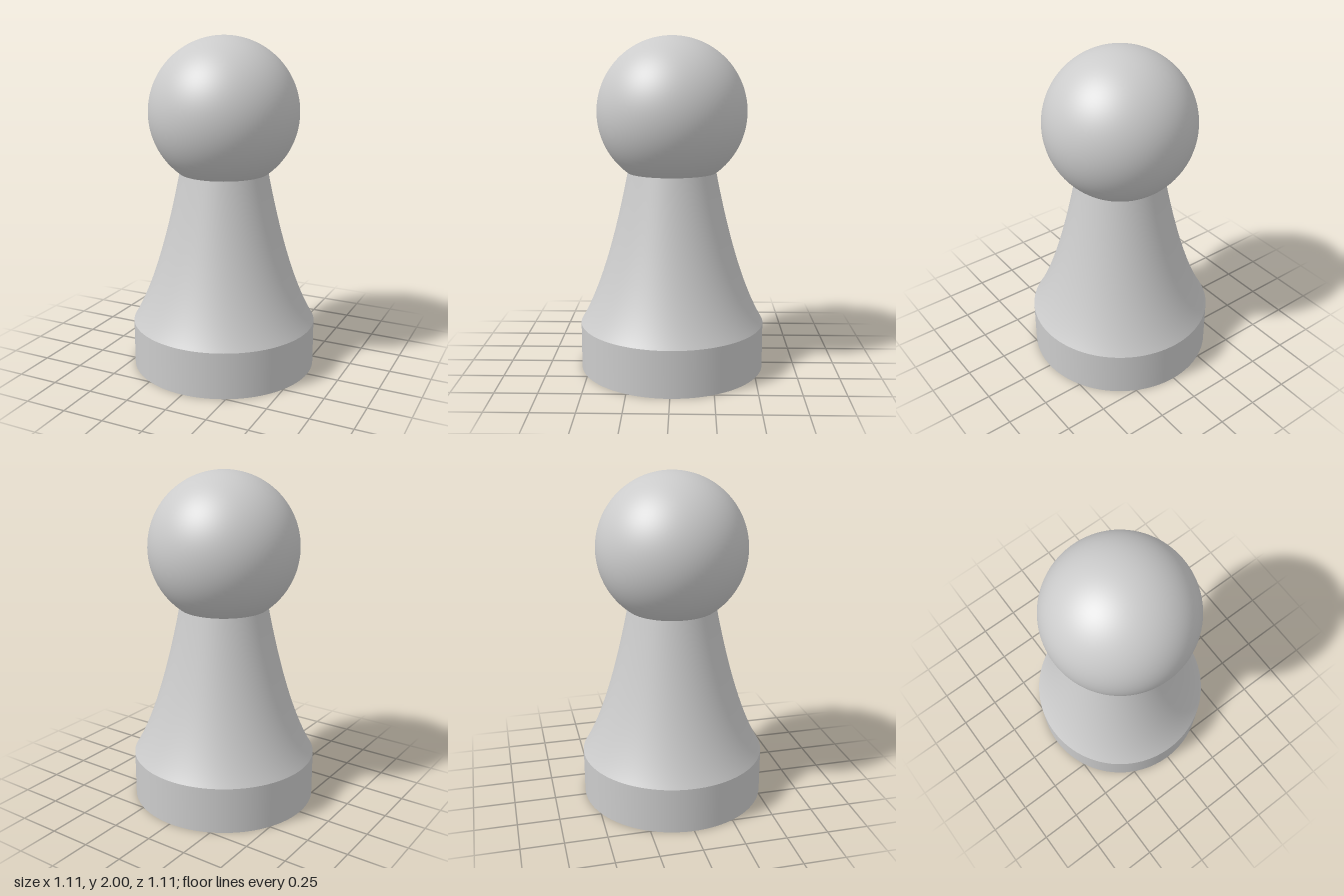
import * as THREE from 'three';

const SEGMENTS = 100;
const material = new THREE.MeshStandardMaterial({ color: 0xcccccc });
const v = (x, y) => new THREE.Vector2(x, y);

// One smooth band of the turned shell; separate bands keep the edges between them sharp.
function band(name, points) {
  const mesh = new THREE.Mesh(new THREE.LatheGeometry(points, SEGMENTS), material);
  mesh.name = name;
  return mesh;
}

export function createModel() {
  const model = new THREE.Group();
  model.name = 'pawn';

  const baseRadius = 0.557, baseHeight = 0.28;
  const boreRadius = 0.475, wall = baseRadius - boreRadius;
  const headRadius = 0.445, neckRadius = 0.265, neckY = 1.2;

  // Concave flare from the base up to the neck
  const flare = new THREE.QuadraticBezierCurve(
    v(baseRadius, baseHeight), v(0.392, 0.555), v(neckRadius, neckY)
  ).getPoints(32);
  const innerFlare = flare.map((p) => v(p.x - wall, p.y)).reverse();

  // Hollow body: outside upwards, inside downwards
  const body = new THREE.Group();
  body.name = 'body';
  body.add(
    band('baseWall', [v(baseRadius, 0), v(baseRadius, baseHeight)]),
    band('flaredNeck', flare),
    band('innerNeck', innerFlare),
    band('innerBaseWall', [v(boreRadius, baseHeight), v(boreRadius, 0)]),
    band('bottomRim', [v(boreRadius, 0), v(baseRadius, 0)])
  );
  model.add(body);

  // Round head, closing the hollow at the neck
  const head = new THREE.Mesh(new THREE.SphereGeometry(headRadius, SEGMENTS, 50), material);
  head.name = 'head';
  head.position.y = 2 - headRadius;
  model.add(head);

  return model;
}
